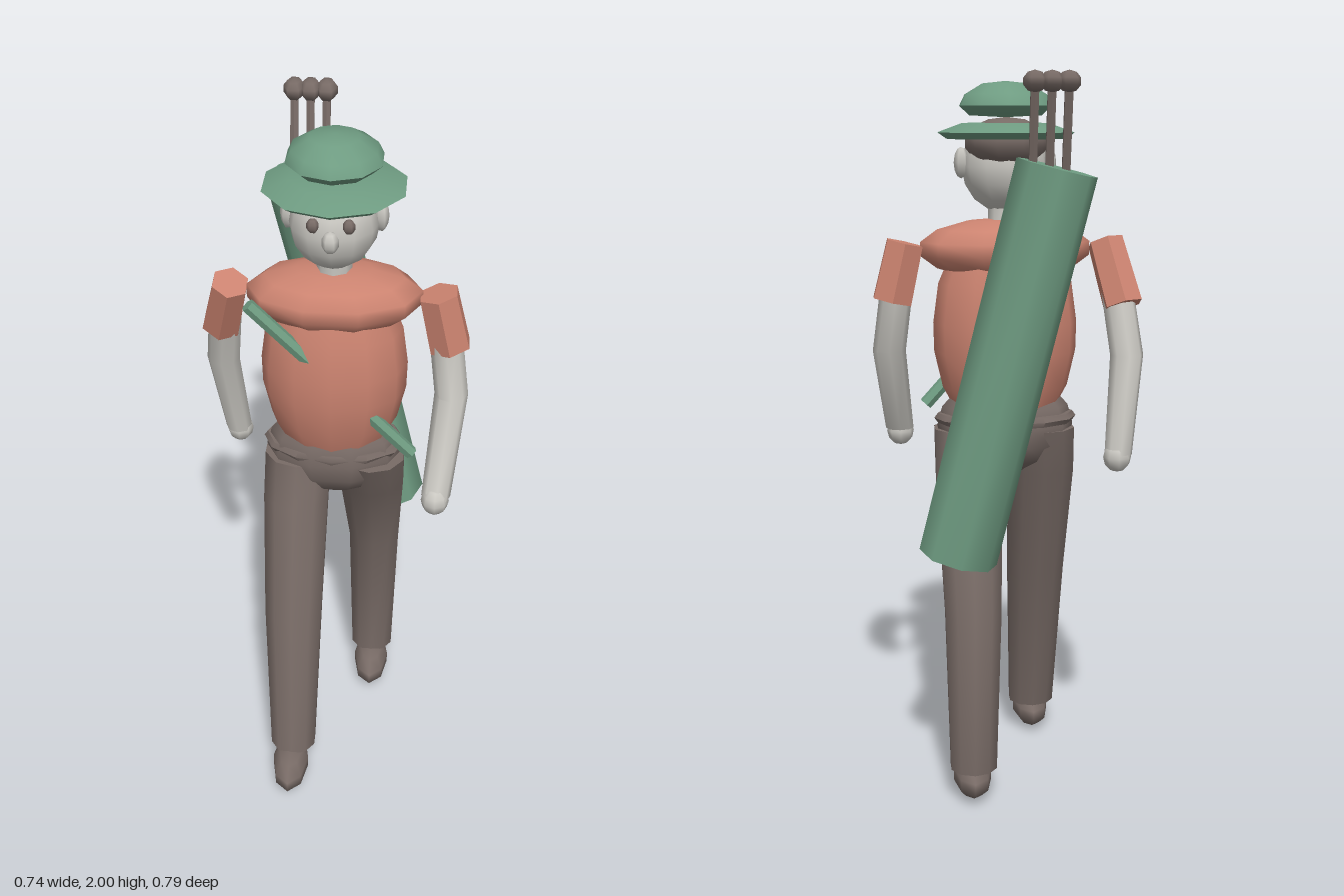
import * as THREE from 'three';
import { toCreasedNormals } from 'three/addons/utils/BufferGeometryUtils.js';

const mat = (name, color) => {
  const m = new THREE.MeshStandardMaterial({ color });
  m.name = name;
  return m;
};
const V = (p) => new THREE.Vector3(...p);

export function createModel() {
  const green = mat('green', 0x6f9c82);
  const salmon = mat('salmon', 0xcb8370);
  const pale = mat('pale grey', 0xc9c7c1);
  const brown = mat('brown', 0x786b66);
  const root = new THREE.Group();
  root.name = 'walkingGolfer';

  const add = (name, geo, material, pos = [0, 0, 0], parent = root) => {
    const m = new THREE.Mesh(geo, material);
    m.name = name;
    m.position.set(...pos);
    parent.add(m);
    return m;
  };
  const ball = (name, pos, r, material, sides = 10, rows = 7, parent = root) =>
    add(name, new THREE.SphereGeometry(1, sides, rows).scale(...r), material, pos, parent);

  // Straight rod between two points
  const rod = (name, a, b, ra, rb, sides, material, parent = root) => {
    const p = V(a), d = V(b).sub(p);
    const geo = toCreasedNormals(new THREE.CylinderGeometry(rb, ra, d.length(), sides), 0.9);
    const m = add(name, geo, material, [0, 0, 0], parent);
    m.position.copy(p).addScaledVector(d, 0.5);
    m.quaternion.setFromUnitVectors(new THREE.Vector3(0, 1, 0), d.normalize());
    return m;
  };

  // Bent limb: level rings of radius r centred on each joint, top to bottom
  const limb = (name, joints, sides, material, parent = root) => {
    const n = joints.length - 1;
    const geo = new THREE.CylinderGeometry(1, 1, n, sides, n);
    const p = geo.attributes.position;
    for (let i = 0; i < p.count; i++) {
      const [x, y, z, r] = joints[Math.round(n / 2 - p.getY(i))];
      p.setXYZ(i, x + p.getX(i) * r, y, z + p.getZ(i) * r);
    }
    return add(name, toCreasedNormals(geo, 0.9), material, [0, 0, 0], parent);
  };

  // Turned shape with a squashed depth, profile listed bottom to top
  const turned = (name, profile, sides, depth, material, z) => {
    const geo = new THREE.LatheGeometry(profile.map((q) => new THREE.Vector2(...q)), sides);
    geo.scale(1, 1, depth);
    return add(name, toCreasedNormals(geo, 0.9), material, [0, 0, z]);
  };

  // Head
  ball('head', [0, 1.755, -0.012], [0.118, 0.125, 0.125], pale, 12, 8);
  ball('hair', [0, 1.82, -0.062], [0.115, 0.066, 0.112], brown);
  ball('nose', [0, 1.755, 0.115], [0.023, 0.03, 0.023], pale, 6, 5);
  rod('neck', [0, 1.58, -0.025], [0, 1.67, -0.02], 0.048, 0.045, 8, pale);
  for (const s of [-1, 1]) {
    ball('eye', [s * 0.045, 1.79, 0.095], [0.017, 0.02, 0.016], brown, 6, 5);
    ball('ear', [s * 0.12, 1.765, -0.025], [0.02, 0.042, 0.032], pale, 6, 6);
  }

  // Hat
  turned('hatBrim', [[0, 1.83], [0.165, 1.828], [0.19, 1.845], [0.12, 1.87], [0, 1.872]],
    10, 1, green, -0.03);
  turned('hatCrown', [[0, 1.885], [0.1, 1.89], [0.128, 1.915], [0.113, 1.945], [0.065, 1.973], [0, 1.98]],
    10, 1.05, green, -0.03);

  // Torso
  ball('shoulders', [0, 1.533, -0.025], [0.24, 0.085, 0.146], salmon, 10, 7);
  turned('shirt', [[0, 1.07], [0.135, 1.075], [0.175, 1.15], [0.198, 1.25], [0.2, 1.33], [0.185, 1.44], [0.15, 1.52]],
    12, 0.73, salmon, -0.025);
  turned('belt', [[0, 1.045], [0.19, 1.048], [0.2, 1.062], [0.19, 1.076], [0, 1.077]],
    12, 0.61, brown, -0.03);
  ball('hips', [0, 1.04, -0.025], [0.192, 0.14, 0.118], brown, 10, 8);

  // Legs: right strides forward, left trails behind
  limb('rightLeg', [[-0.1, 1.03, -0.02, 0.098], [-0.106, 0.9, 0.015, 0.096],
    [-0.107, 0.57, 0.14, 0.086], [-0.106, 0.1, 0.233, 0.069]], 10, brown);
  limb('leftLeg', [[0.105, 1.03, -0.01, 0.098], [0.107, 0.9, -0.07, 0.096],
    [0.11, 0.56, -0.243, 0.08], [0.11, 0.1, -0.236, 0.067]], 10, brown);
  ball('rightShoe', [-0.11, 0.055, 0.285], [0.056, 0.055, 0.117], brown, 8, 5);
  ball('leftShoe', [0.11, 0.055, -0.19], [0.056, 0.055, 0.117], brown, 8, 5);

  // Arms: right swings back, left swings forward
  rod('rightSleeve', [-0.318, 1.38, -0.1], [-0.278, 1.55, -0.03], 0.057, 0.052, 6, salmon);
  limb('rightArm', [[-0.3, 1.46, -0.07, 0.045], [-0.324, 1.25, -0.135, 0.046],
    [-0.296, 0.98, -0.185, 0.038]], 8, pale);
  ball('rightHand', [-0.293, 0.975, -0.187], [0.039, 0.042, 0.039], pale, 8, 6);
  rod('leftSleeve', [0.312, 1.39, -0.018], [0.275, 1.55, -0.016], 0.06, 0.056, 6, salmon);
  limb('leftArm', [[0.295, 1.46, -0.016, 0.045], [0.322, 1.25, 0, 0.046],
    [0.293, 1.0, 0.136, 0.04]], 8, pale);
  ball('leftHand', [0.291, 0.99, 0.145], [0.039, 0.042, 0.039], pale, 8, 6);

  // Slanted bag on the back, with its strap across the chest
  rod('bag', [0.15, 0.72, -0.247], [-0.107, 1.76, -0.288], 0.108, 0.108, 8, green);
  rod('strap', [-0.215, 1.56, 0.1], [0.22, 1.085, 0.058], 0.019, 0.019, 6, green);

  // Clubs sticking out of the bag
  for (const i of [-1, 0, 1]) {
    const club = new THREE.Group();
    club.name = 'club';
    root.add(club);
    const x = -0.087 + i * 0.043;
    rod('clubShaft', [x, 1.6, -0.255], [x, 1.965, -0.328], 0.012, 0.012, 6, brown, club);
    ball('clubHead', [x, 1.972, -0.328], [0.031, 0.028, 0.047], brown, 6, 5, club);
  }
  return root;
}
